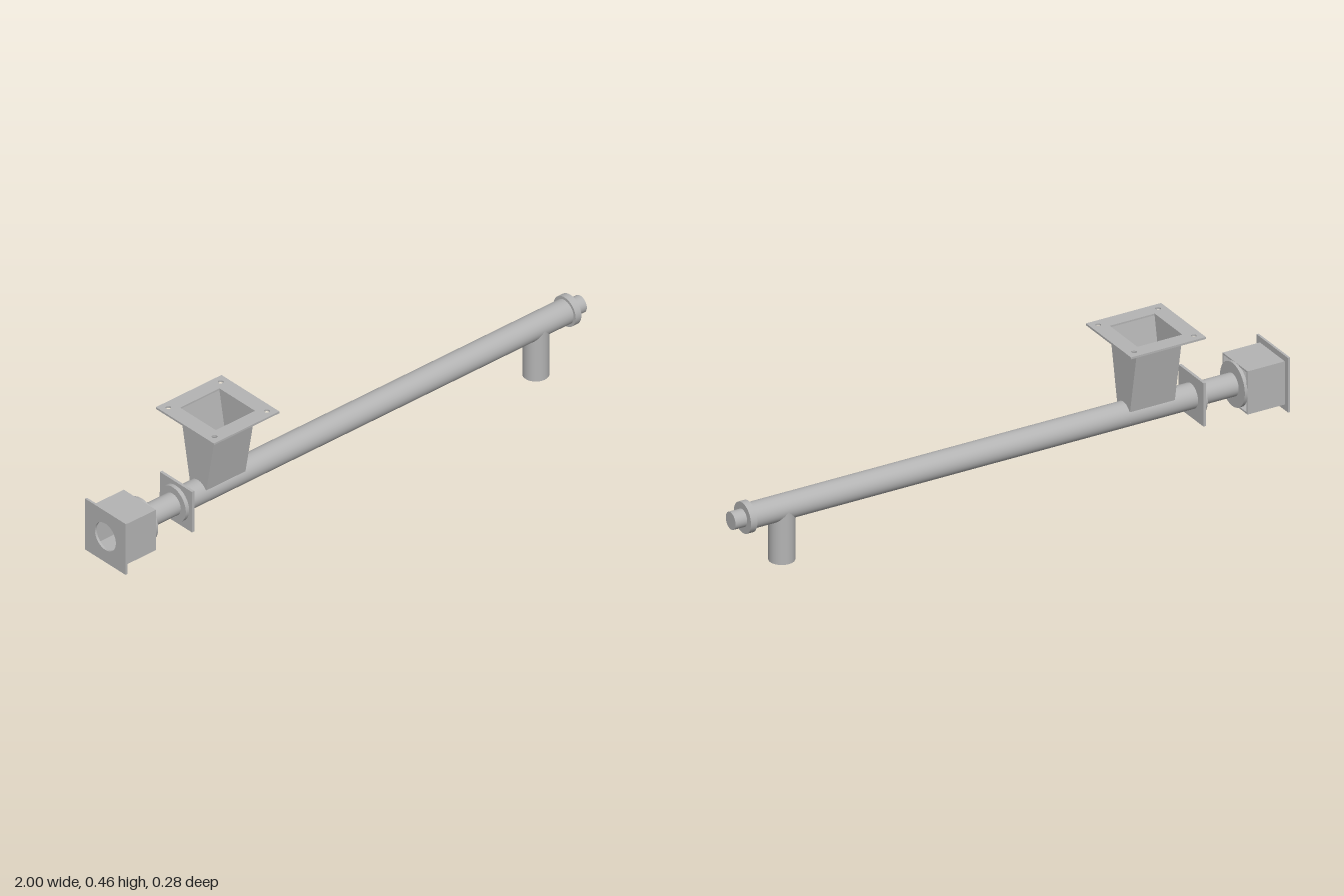
import * as THREE from 'three';

const AXIS = 0.184;   // height of the conveyor axis
const R = 0.043;      // tube radius
const HOP = { x0: -0.61, x1: -0.445, top: 0.453, low: 0.207, zTop: 0.085, zLow: 0.0393 };
const OUT_X = 0.812;  // outlet position
const CUT = 1.01;     // half angle of the inlet opening in the tube

export function createModel() {
  const model = new THREE.Group();
  model.name = 'screwConveyor';
  const steel = new THREE.MeshStandardMaterial({ color: 0xb4b4b4, side: THREE.DoubleSide });
  steel.name = 'greySteel';

  const add = (name, geo, x = 0, y = 0, z = 0) => {
    const mesh = new THREE.Mesh(geo, steel);
    mesh.name = name;
    mesh.position.set(x, y, z);
    model.add(mesh);
    return mesh;
  };

  // Cylinder lying along x between x0 and x1, on the conveyor axis
  const rodX = (name, r, x0, x1, open = false, start = 0, sweep = Math.PI * 2) => {
    const geo = new THREE.CylinderGeometry(r, r, x1 - x0, 48, 1, open, start, sweep);
    geo.rotateZ(-Math.PI / 2);
    return add(name, geo, (x0 + x1) / 2, AXIS, 0);
  };

  // Square plate with holes, extruded along z; holes are [x, y, radius]
  const plate = (size, t, holes, square) => {
    const h = size / 2;
    const rect = (P, a, b) => new P([[-a, -b], [a, -b], [a, b], [-a, b]].map(p => new THREE.Vector2(...p)));
    const shape = rect(THREE.Shape, h, h);
    if (square) shape.holes.push(rect(THREE.Path, ...square));
    for (const [x, y, r] of holes) {
      const p = new THREE.Path();
      p.absarc(x, y, r, 0, Math.PI * 2, true);
      shape.holes.push(p);
    }
    const geo = new THREE.ExtrudeGeometry(shape, { depth: t, bevelEnabled: false, curveSegments: 24 });
    return geo.translate(0, 0, -t / 2);
  };
  const corners = (d, r) => [[d, d, r], [-d, d, r], [-d, -d, r], [d, -d, r]];

  // Main tube: plain piece, piece open under the hopper, two pieces mitred around the outlet
  rodX('tubeInletEnd', R, -0.693, HOP.x0, true);
  rodX('tubeUnderHopper', R, HOP.x0, HOP.x1, true, Math.PI * 1.5 + CUT, Math.PI * 2 - 2 * CUT);
  const mitre = (mesh, side) => {
    const p = mesh.geometry.attributes.position;
    for (let i = 0; i < p.count; i++)
      if (p.getX(i) * side < 0) p.setX(i, p.getX(i) + side * Math.max(0, -p.getY(i)));
  };
  mitre(rodX('tubeMiddle', R, HOP.x1, OUT_X, true), -1);
  mitre(rodX('tubeOutletEnd', R, OUT_X, 0.935, true), 1);

  // Outlet spout with a saddle-cut top
  const spout = new THREE.CylinderGeometry(R, R, AXIS, 48, 1, true).translate(0, AXIS / 2, 0);
  const sp = spout.attributes.position;
  for (let i = 0; i < sp.count; i++) if (sp.getY(i) > 0.1) sp.setY(i, AXIS - Math.abs(sp.getX(i)));
  add('outletSpout', spout, OUT_X);

  // End cap and shaft stub
  rodX('endCap', 0.053, 0.933, 0.957);
  rodX('shaftStub', 0.03, 0.957, 1.0);

  // Screw shaft and helical flight
  rodX('screwShaft', 0.016, -0.72, 0.94);
  const pos = [], idx = [], x0 = -0.68, x1 = 0.92, pitch = 0.08;
  const steps = Math.round((x1 - x0) / pitch * 24);
  for (let i = 0; i <= steps; i++) {
    const x = x0 + (x1 - x0) * i / steps, a = (x - x0) / pitch * Math.PI * 2;
    for (const r of [0.015, 0.038]) pos.push(x, r * Math.cos(a), r * Math.sin(a));
    if (i < steps) idx.push(2 * i, 2 * i + 1, 2 * i + 2, 2 * i + 1, 2 * i + 3, 2 * i + 2);
  }
  const flight = new THREE.BufferGeometry();
  flight.setAttribute('position', new THREE.Float32BufferAttribute(pos, 3));
  flight.setIndex(idx);
  flight.computeVertexNormals();
  add('screwFlight', flight, 0, AXIS, 0);

  // Hopper end walls, cut to sit on the tube
  const s = new THREE.Shape();
  const a0 = Math.PI / 2 - CUT;
  s.moveTo(-HOP.zTop, HOP.top);
  s.lineTo(HOP.zTop, HOP.top);
  s.lineTo(HOP.zLow, HOP.low);
  s.absarc(0, AXIS, R, a0, Math.PI - a0, false);
  s.lineTo(-HOP.zLow, HOP.low);
  for (const [x, turn] of [[HOP.x0, -1], [HOP.x1, 1]])
    add('hopperEndWall', new THREE.ShapeGeometry(s).rotateY(turn * Math.PI / 2), x);

  // Hopper sloping side walls
  const midX = (HOP.x0 + HOP.x1) / 2;
  for (const side of [1, -1]) {
    const g = new THREE.PlaneGeometry(HOP.x1 - HOP.x0, HOP.top - HOP.low);
    if (side < 0) g.rotateY(Math.PI);
    const p = g.attributes.position;
    for (let i = 0; i < 4; i++) p.setZ(i, side * (p.getY(i) > 0 ? HOP.zTop : HOP.zLow));
    g.computeVertexNormals();
    add('hopperSideWall', g, midX, (HOP.top + HOP.low) / 2, 0);
  }

  // Hopper flange with bolt holes
  add('hopperFlange', plate(0.276, 0.007, corners(0.11, 0.009), [0.0825, 0.085]).rotateX(Math.PI / 2),
    midX, 0.4555, 0);

  // Inlet end plate, bearing flange and bearing tube
  add('tubeEndPlate', plate(0.153, 0.01, []).rotateY(Math.PI / 2), -0.698, AXIS, 0);
  rodX('bearingFlange', 0.063, -0.717, -0.703);
  rodX('bearingTube', 0.039, -0.846, -0.71);

  // Motor mount: hollow box, round end disc and square plate with a bore
  add('motorBox', plate(0.153, 0.138, [], [0.0705, 0.0705]).rotateY(Math.PI / 2), -0.924, AXIS, 0);
  rodX('motorBoxDisc', 0.0765, -0.857, -0.845);
  add('motorPlate', plate(0.193, 0.008, [[0, 0, 0.05]]).rotateY(Math.PI / 2), -0.996, AXIS, 0);

  return model;
}
